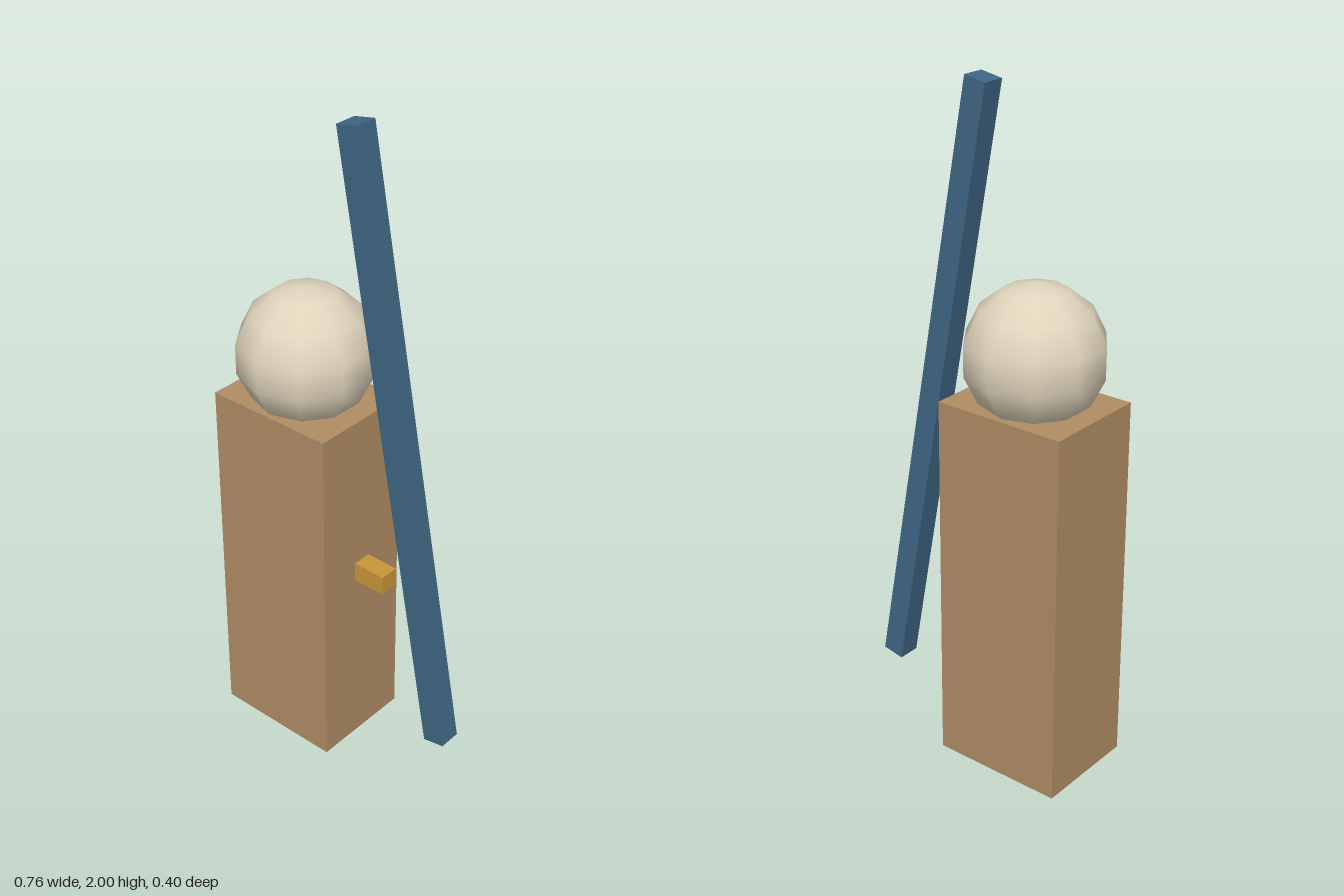
import * as THREE from 'three';

const BODY_X = -0.175, BODY_HALF = 0.205, BODY_HEIGHT = 1.13;

function createPart(name, geometry, color, x, y, flatShading = true) {
  const mesh = new THREE.Mesh(geometry, new THREE.MeshStandardMaterial({ color, flatShading }));
  mesh.name = name;
  mesh.position.set(x, y, 0);
  return mesh;
}

export function createModel() {
  const model = new THREE.Group();
  model.name = 'figure';

  // Tall block body standing on the ground
  const body = createPart('body',
    new THREE.BoxGeometry(BODY_HALF * 2, BODY_HEIGHT, 0.326), 0xb08c64, BODY_X, BODY_HEIGHT / 2);

  // Coarse, smooth-shaded ball head sunk slightly into the body, corners facing front and back
  const head = createPart('head',
    new THREE.SphereGeometry(0.205, 10, 7), 0xe0d4bc, BODY_X, 1.27, false);
  head.rotation.y = Math.PI / 2;

  // Short peg sticking out of the side of the body
  const peg = createPart('peg',
    new THREE.BoxGeometry(0.105, 0.06, 0.06), 0xc8963a, 0.0825, 0.62);

  // Long square bar leaning towards the head
  const bar = createPart('leaningBar',
    new THREE.BoxGeometry(0.07, 1.883, 0.07), 0x3f6684, 0.174, 1.0675);
  bar.rotation.z = 0.18;

  model.add(body, head, peg, bar);
  return model;
}
